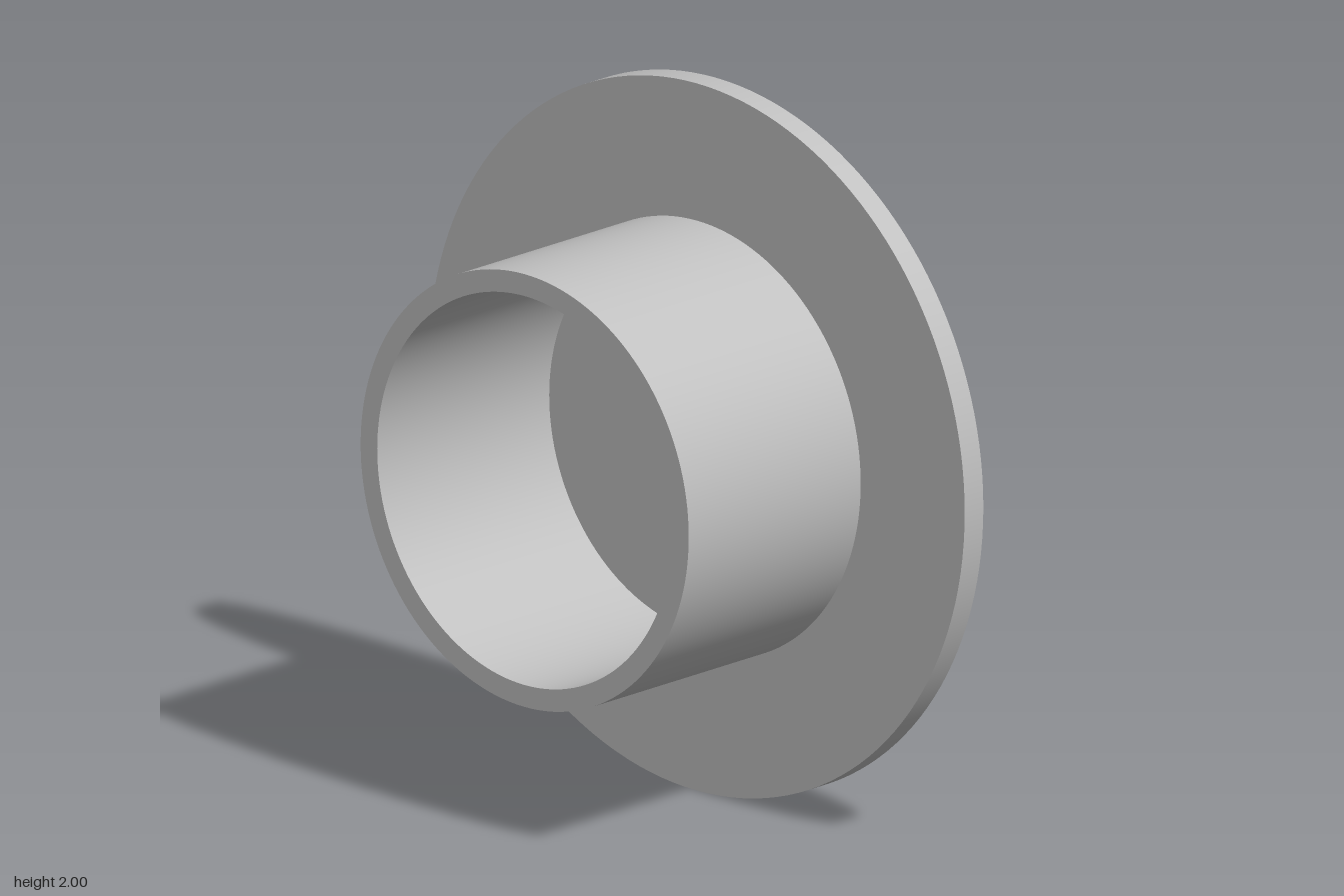
import * as THREE from 'three';
import { mergeGeometries } from 'three/addons/utils/BufferGeometryUtils.js';

const SEGMENTS = 144;

// Revolves a profile of [radius, z] points around the z axis, keeping its corners sharp
function turned(profile) {
  const bands = [];
  for (let i = 0; i < profile.length - 1; i++) {
    const ends = [profile[i], profile[i + 1]].map(([r, z]) => new THREE.Vector2(r, z));
    bands.push(new THREE.LatheGeometry(ends, SEGMENTS));
  }
  return mergeGeometries(bands).rotateX(Math.PI / 2);
}

export function createModel() {
  const group = new THREE.Group();
  group.name = 'flangedSleeve';
  const grey = new THREE.MeshStandardMaterial({ color: 0xc0c0c0 });
  grey.name = 'plain grey';

  const back = -0.373, flangeFront = -0.3, front = 0.373;
  const hole = 0.056, inner = 0.55, outer = 0.612;

  function add(name, profile) {
    const mesh = new THREE.Mesh(turned(profile), grey);
    mesh.name = name;
    mesh.position.y = 1;
    group.add(mesh);
  }

  // Wide disc with a small through hole
  add('flange', [[hole, back], [1, back], [1, flangeFront], [hole, flangeFront], [hole, back]]);

  // Hollow tube, open at the front and closed by the flange behind
  add('sleeve', [[outer, flangeFront], [outer, front], [inner, front], [inner, flangeFront]]);

  return group;
}
